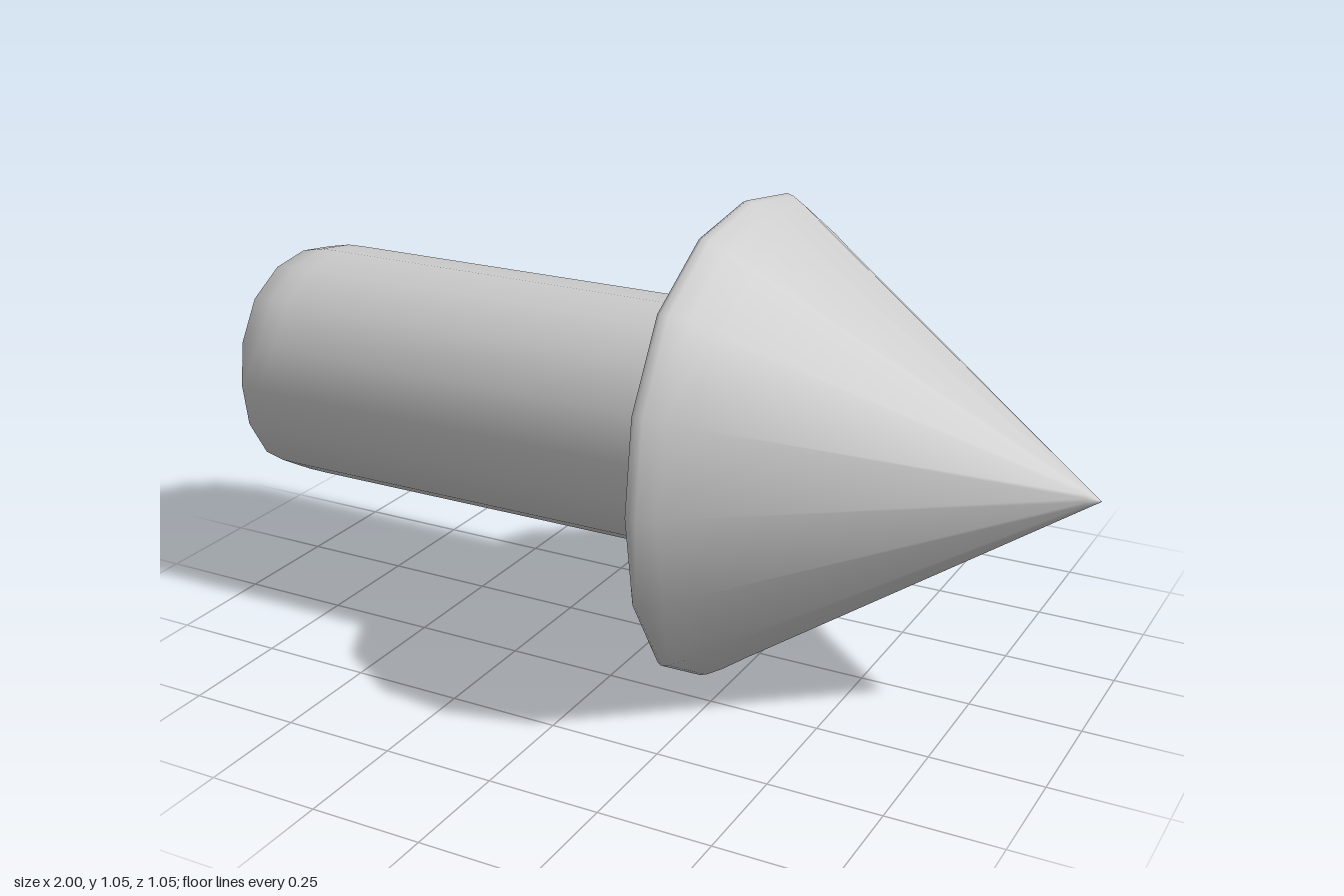
import * as THREE from 'three';

const SIDES = 16;
const AXIS_HEIGHT = 0.527;

// Revolve an [x, radius] profile about the x axis, slightly squared on the diagonals.
function revolve(name, profile) {
  const points = profile.map(([x, r]) => new THREE.Vector2(r, x));
  const geometry = new THREE.LatheGeometry(points, SIDES);
  const pos = geometry.attributes.position;
  for (let i = 0; i < pos.count; i++) {
    const x = pos.getX(i), z = pos.getZ(i);
    const s = 1 + 0.04 * Math.sin(2 * Math.atan2(z, x)) ** 2;
    pos.setX(i, x * s);
    pos.setZ(i, z * s);
  }
  geometry.rotateZ(-Math.PI / 2);
  const mesh = new THREE.Mesh(geometry, new THREE.MeshStandardMaterial({ color: 0xcccccc }));
  mesh.name = name;
  mesh.position.y = AXIS_HEIGHT;
  return mesh;
}

export function createModel() {
  const group = new THREE.Group();
  group.name = 'arrow';

  // Shaft with a flat, softly rounded rear end
  group.add(revolve('shaft', [
    [-1, 0], [-1, 0.22], [-0.997, 0.24], [-0.98, 0.262],
    [-0.925, 0.273], [-0.88, 0.274], [0.08, 0.274],
  ]));

  // Head: small fillet, flared back face, rounded rim and pointed cone
  group.add(revolve('arrowhead', [
    [0.08, 0.274], [0.1, 0.275], [0.14, 0.284], [0.15, 0.305], [0.164, 0.41],
    [0.18, 0.49], [0.19, 0.522], [0.2, 0.527], [0.215, 0.523],
    [0.25, 0.503], [0.3, 0.468], [0.97, 0.02], [1, 0],
  ]));

  return group;
}
